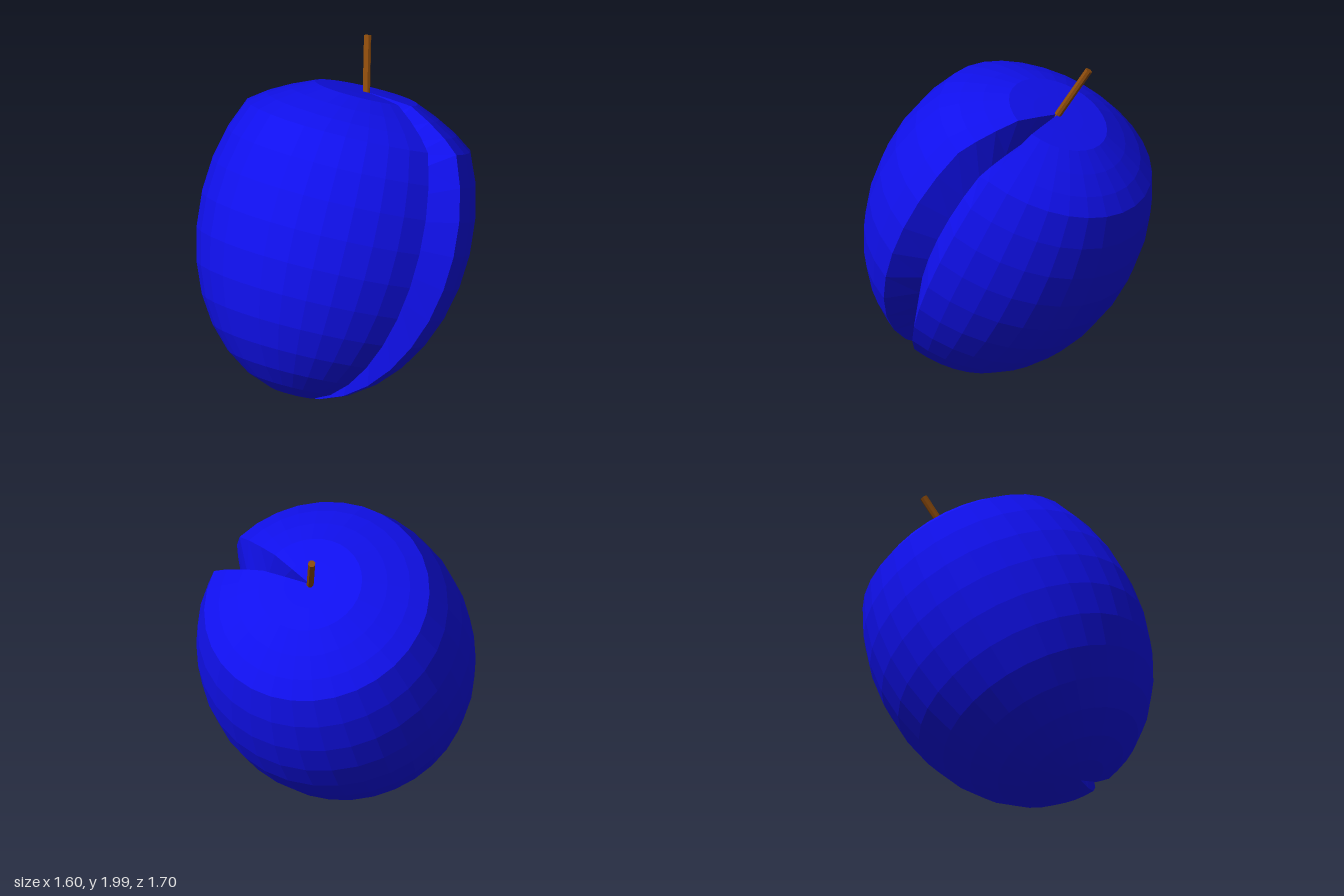
import * as THREE from 'three';

const RADIUS = 0.8, STRETCH = 1.3, SIDES = 32, RINGS = 16;
const TOP_HEIGHTS = [0.78, 0.78, 0.775, 0.715, 0.65]; // flattened crown, pole outwards
const GROOVE_DEPTH = 0.8;

// Egg-shaped flesh: stretched sphere, flattened crown, one column pulled in as a groove
function makeFlesh() {
  const geometry = new THREE.SphereGeometry(RADIUS, SIDES, RINGS);
  const p = geometry.attributes.position;
  const step = (Math.PI * 2) / SIDES;
  const v = new THREE.Vector3();
  for (let i = 0; i < p.count; i++) {
    v.fromBufferAttribute(p, i);
    const ring = Math.floor(i / (SIDES + 1));
    v.y = ring < TOP_HEIGHTS.length ? TOP_HEIGHTS[ring] : v.y * STRETCH;
    const inGroove = Math.abs(Math.atan2(v.z, v.x) - step) < step / 4;
    if (ring > 0 && ring < RINGS && inGroove) v.multiplyScalar(GROOVE_DEPTH);
    p.setXYZ(i, v.x, v.y, v.z);
  }
  geometry.computeVertexNormals();
  const material = new THREE.MeshStandardMaterial({ color: 0x1010ee, flatShading: true });
  const flesh = new THREE.Mesh(geometry, material);
  flesh.name = 'flesh';
  flesh.position.set(0, 1.006, 0.005);
  flesh.rotation.x = -0.4446; // leans backwards
  return flesh;
}

// Thin stalk from the crown to the tip
function makeStem() {
  const base = new THREE.Vector3(0.006, 1.69, -0.319);
  const tip = new THREE.Vector3(-0.087, 1.989, -0.484);
  const axis = tip.clone().sub(base);
  const stem = new THREE.Mesh(
    new THREE.CylinderGeometry(0.022, 0.022, axis.length(), 8),
    new THREE.MeshStandardMaterial({ color: 0x8b4a0b, flatShading: true })
  );
  stem.name = 'stem';
  stem.position.copy(base).add(tip).multiplyScalar(0.5);
  stem.quaternion.setFromUnitVectors(new THREE.Vector3(0, 1, 0), axis.normalize());
  return stem;
}

export function createModel() {
  const group = new THREE.Group();
  group.name = 'plum';
  group.add(makeFlesh(), makeStem());
  return group;
}
